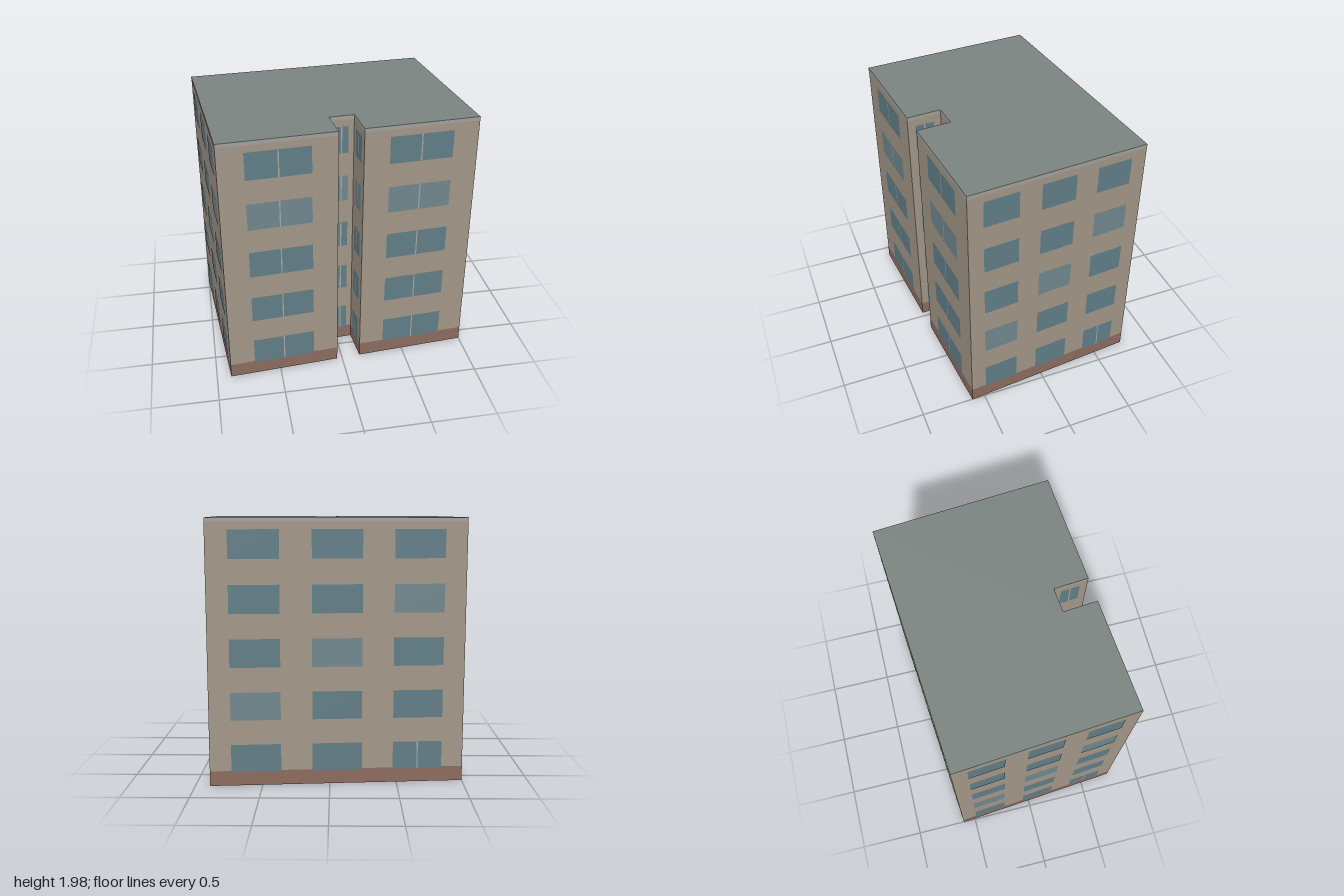
import * as THREE from 'three';

const HEIGHT = 1.975;
// Footprint corners (x, z), walked left to right as seen from outside
const CORNERS = [
  [-0.89, 0.75], [-0.04, 0.682], [-0.062, 0.422], [0.125, 0.407],
  [0.145, 0.667], [1, 0.6], [0.89, -0.755], [-1, -0.603],
];

const paint = (color, side = THREE.FrontSide) =>
  new THREE.MeshStandardMaterial({ color, side, flatShading: true });

export function createModel() {
  const building = new THREE.Group();
  building.name = 'apartmentBuilding';

  const wallPaint = paint(0xa39788, THREE.DoubleSide);
  const roofPaint = paint(0x7c8582, THREE.DoubleSide);
  const brick = paint(0x8d6c60);
  const trim = paint(0xa3a29d);
  const glass = paint(0x627e88);
  const paleGlass = paint(0x70888f);
  const mullionPaint = paint(0xaaa9a2);

  // Flat roof following the footprint
  const outline = new THREE.Shape(CORNERS.map(([x, z]) => new THREE.Vector2(x, -z)));
  const roof = new THREE.Mesh(new THREE.ShapeGeometry(outline), roofPaint);
  roof.name = 'roof';
  roof.rotation.x = -Math.PI / 2;
  roof.position.y = HEIGHT;
  building.add(roof);

  CORNERS.forEach(([x0, z0], i) => {
    const [x1, z1] = CORNERS[(i + 1) % CORNERS.length];
    const length = Math.hypot(x1 - x0, z1 - z0);

    // Each side is a group whose x runs along the wall and z points outward
    const side = new THREE.Group();
    side.name = 'facade' + (i + 1);
    side.position.set((x0 + x1) / 2, 0, (z0 + z1) / 2);
    side.rotation.y = Math.atan2(z0 - z1, x1 - x0);
    building.add(side);

    const panel = (name, x, width, y0, y1, offset, material) => {
      const mesh = new THREE.Mesh(new THREE.PlaneGeometry(width, y1 - y0), material);
      mesh.name = name;
      mesh.position.set(x, (y0 + y1) / 2, offset);
      side.add(mesh);
    };

    panel('wall', 0, length, 0, HEIGHT, 0, wallPaint);
    panel('plinth', 0, length, 0, 0.112, 0.001, brick);
    panel('roofTrim', 0, length, 1.945, HEIGHT, 0.001, trim);

    // Long walls carry three windows per floor, short ones a single split window
    const long = length > 1;
    const columns = long ? [-0.318, 0, 0.318] : [0];
    const width = length * (long ? 0.195 : 0.555);
    const paleShift = long ? 1 : 3;
    for (let floor = 0; floor < 5; floor++) {
      const y0 = 0.102 + floor * 0.395;
      const y1 = y0 + 0.21;
      columns.forEach((c, col) => {
        const pale = floor - col === paleShift;
        panel('window', c * length, width, y0, y1, 0.002, pale ? paleGlass : glass);
        if (!long || (floor === 0 && col === 2)) {
          panel('mullion', c * length, 0.009, y0, y1, 0.003, mullionPaint);
        }
      });
    }
  });

  return building;
}
